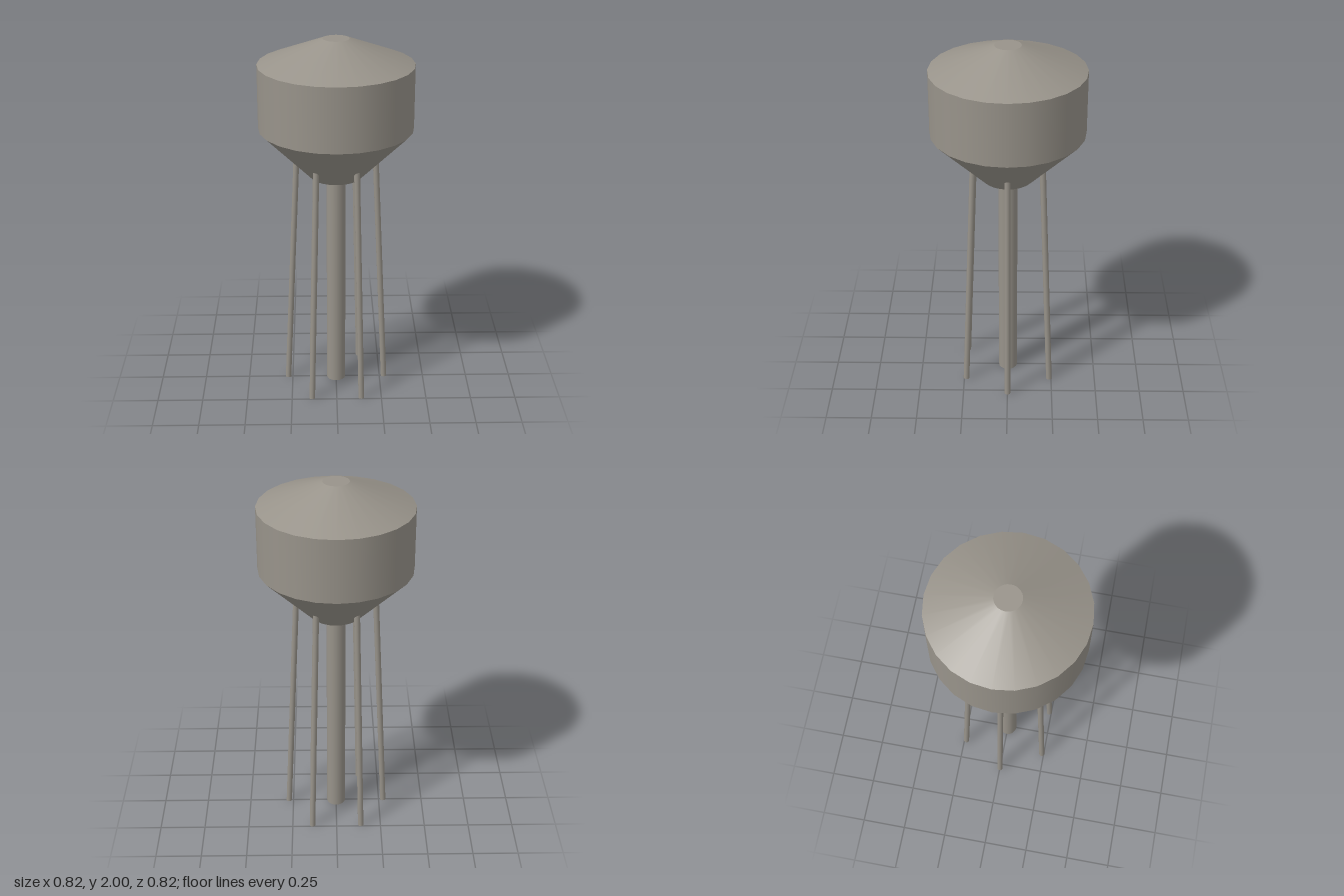
import * as THREE from 'three';

export function createModel() {
  const model = new THREE.Group();
  model.name = 'waterTower';
  const concrete = new THREE.MeshStandardMaterial({ color: 0x98938a });
  concrete.name = 'concrete grey';

  // Upright round section; separate sections keep the rims sharp
  function section(name, rTop, rBottom, y0, y1, sides, open) {
    const mesh = new THREE.Mesh(
      new THREE.CylinderGeometry(rTop, rBottom, y1 - y0, sides, 1, open), concrete);
    mesh.position.y = (y0 + y1) / 2;
    mesh.name = name;
    return mesh;
  }

  // Tank: funnel, drum and roof, closed at top and bottom
  const tank = new THREE.Group();
  tank.name = 'tank';
  tank.add(
    section('tankFunnel', 0.412, 0.137, 1.245, 1.52, 24, false),
    section('tankDrum', 0.412, 0.412, 1.52, 1.865, 24, true),
    section('tankRoof', 0.07, 0.412, 1.865, 2, 24, false));
  model.add(tank);

  // Central riser pipe
  model.add(section('centralColumn', 0.052, 0.052, 0, 1.26, 16, false));

  // Six legs leaning inwards, their tops buried in the funnel
  const up = new THREE.Vector3(0, 1, 0);
  for (let i = 0; i < 6; i++) {
    const a = (i * Math.PI) / 3;
    const foot = new THREE.Vector3(Math.cos(a) * 0.275, 0.001, Math.sin(a) * 0.275);
    const head = new THREE.Vector3(Math.cos(a) * 0.21, 1.385, Math.sin(a) * 0.21);
    const axis = head.clone().sub(foot);
    const leg = new THREE.Mesh(
      new THREE.CylinderGeometry(0.0165, 0.0165, axis.length(), 10), concrete);
    leg.position.copy(foot).add(head).multiplyScalar(0.5);
    leg.quaternion.setFromUnitVectors(up, axis.normalize());
    leg.name = 'leg' + (i + 1);
    model.add(leg);
  }
  return model;
}
